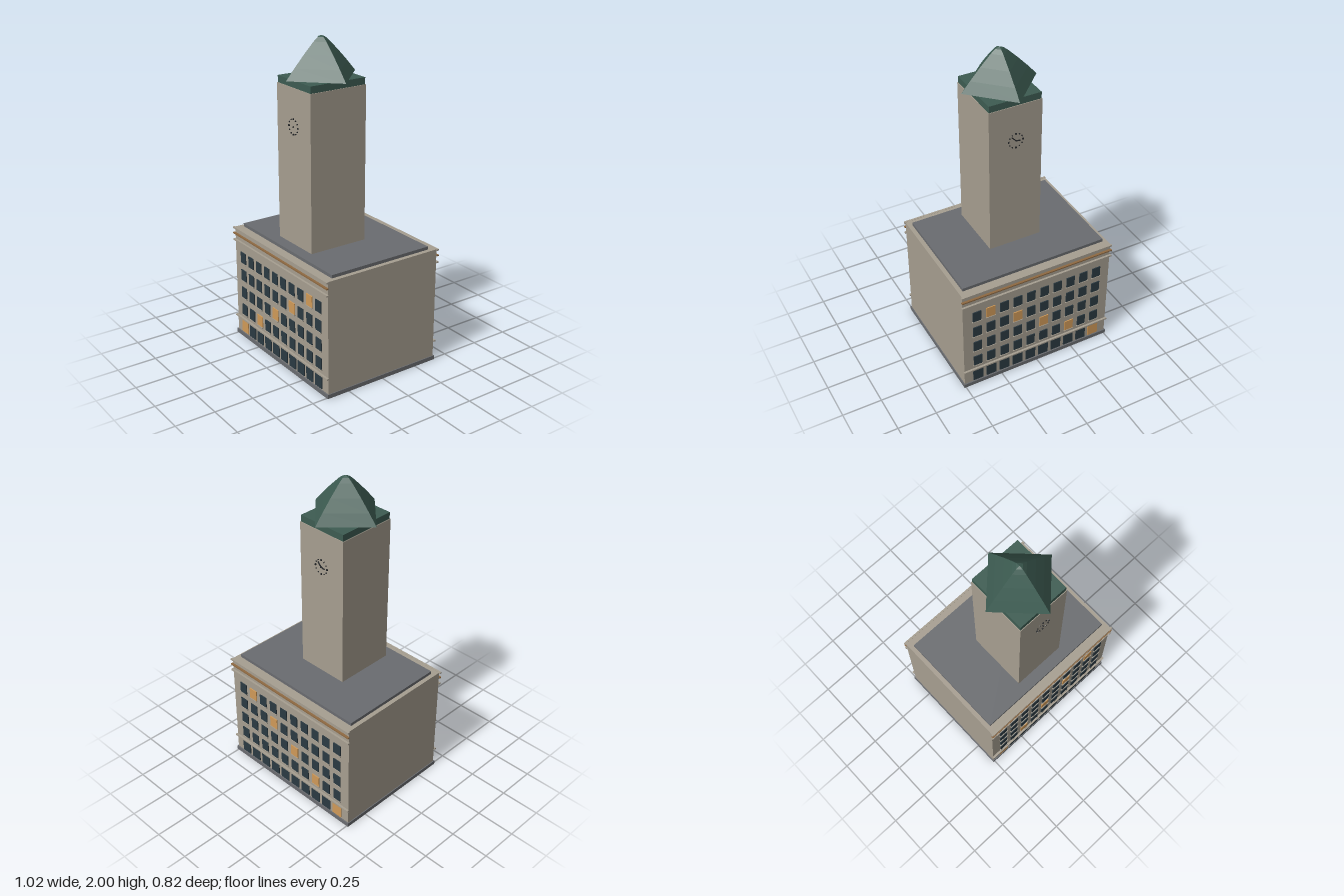
import * as THREE from 'three';

const mat = (name, color, extra = {}) => {
  const m = new THREE.MeshStandardMaterial({ color, ...extra });
  m.name = name;
  return m;
};

export function createModel() {
  const stone = mat('stone', 0xa69e90);
  const slate = mat('slate', 0x6a6c70);
  const copper = mat('greenCopper', 0x3d5c52, { flatShading: true });
  const glass = mat('darkGlass', 0x2b3a42);
  const lit = mat('litGlass', 0xd09a58);
  const bronze = mat('bronze', 0x8f6a42);
  const black = mat('clockBlack', 0x26282a);

  const model = new THREE.Group();
  model.name = 'clockTowerHall';

  const add = (parent, name, geometry, material, x, y, z) => {
    const mesh = new THREE.Mesh(geometry, material);
    mesh.name = name;
    mesh.position.set(x, y, z);
    parent.add(mesh);
    return mesh;
  };
  // box given by its centre in x and z and its bottom and top heights
  const block = (parent, name, w, y0, y1, d, material, x = 0, z = 0) =>
    add(parent, name, new THREE.BoxGeometry(w, y1 - y0, d), material, x, (y0 + y1) / 2, z);

  // main block
  block(model, 'plinth', 1.022, 0, 0.026, 0.806, slate);
  block(model, 'hallBody', 1.01, 0.026, 0.74, 0.79, stone);
  block(model, 'roofSlab', 0.955, 0.74, 0.76, 0.7, slate);

  // front and back facades share one layout, mirrored in z
  for (const side of [1, -1]) {
    const facade = new THREE.Group();
    facade.name = side > 0 ? 'frontFacade' : 'backFacade';
    model.add(facade);
    const face = side * 0.395;

    for (const y of [0.127, 0.656, 0.736]) {
      block(facade, 'ledge', 1.022, y - 0.005, y + 0.005, 0.014, stone, 0, face + side * 0.007);
    }
    block(facade, 'bronzeStrip', 1.022, 0.696, 0.704, 0.014, bronze, 0, face + side * 0.008);

    for (let row = 0; row < 5; row++) {
      for (let col = 0; col < 10; col++) {
        const x = -0.412 + col * 0.0916;
        const isLit = col === row * 2;
        const ground = row === 0;
        const y = ground ? 0.078 : 0.075 + row * 0.12;
        const w = (ground ? 0.068 : 0.056) + (isLit ? 0.004 : 0);
        const h = ground ? 0.088 : 0.072;
        block(facade, isLit ? 'litWindow' : 'window', w, y - h / 2, y + h / 2, 0.006,
          isLit ? lit : glass, x, face + side * 0.003);
        if (!ground) {
          block(facade, 'windowSill', 0.064, y - 0.042, y - 0.036, 0.01, stone, x, face + side * 0.005);
        }
      }
    }
  }

  // tower
  const tower = new THREE.Group();
  tower.name = 'tower';
  tower.position.z = 0.084;
  model.add(tower);
  block(tower, 'towerShaft', 0.342, 0.76, 1.72, 0.386, stone);
  block(tower, 'roofCollar', 0.334, 1.72, 1.762, 0.378, copper);

  // four-sided bulging roof, its corners on the x and z axes
  const profile = [[0, 1.765], [0.241, 1.765], [0.185, 1.83], [0.12, 1.9],
    [0.053, 1.967], [0.025, 1.99], [0, 2]].map(([r, y]) => new THREE.Vector2(r, y));
  add(tower, 'towerRoof', new THREE.LatheGeometry(profile, 4), copper, 0, 0, 0);

  // clocks with twelve hour marks
  for (const side of [1, -1]) {
    const clock = new THREE.Group();
    clock.name = side > 0 ? 'frontClock' : 'backClock';
    clock.position.set(0, 1.492, side * 0.193);
    clock.rotation.y = side > 0 ? 0 : Math.PI;
    tower.add(clock);
    for (let i = 0; i < 12; i++) {
      const a = (i / 12) * Math.PI * 2;
      const s = i % 3 === 0 ? 0.009 : 0.006;
      add(clock, 'hourMark', new THREE.BoxGeometry(s, s, 0.006), black,
        Math.sin(a) * 0.046, Math.cos(a) * 0.046, 0.003).rotation.z = -a;
    }
    add(clock, 'hub', new THREE.BoxGeometry(0.007, 0.007, 0.008), black, 0, 0, 0.004);
    if (side < 0) {
      for (const [length, angle] of [[0.038, -0.75], [0.028, 1.75]]) {
        add(clock, 'hand', new THREE.BoxGeometry(0.006, length, 0.005), black,
          Math.sin(angle) * length / 2, Math.cos(angle) * length / 2, 0.004).rotation.z = -angle;
      }
    }
  }
  return model;
}
